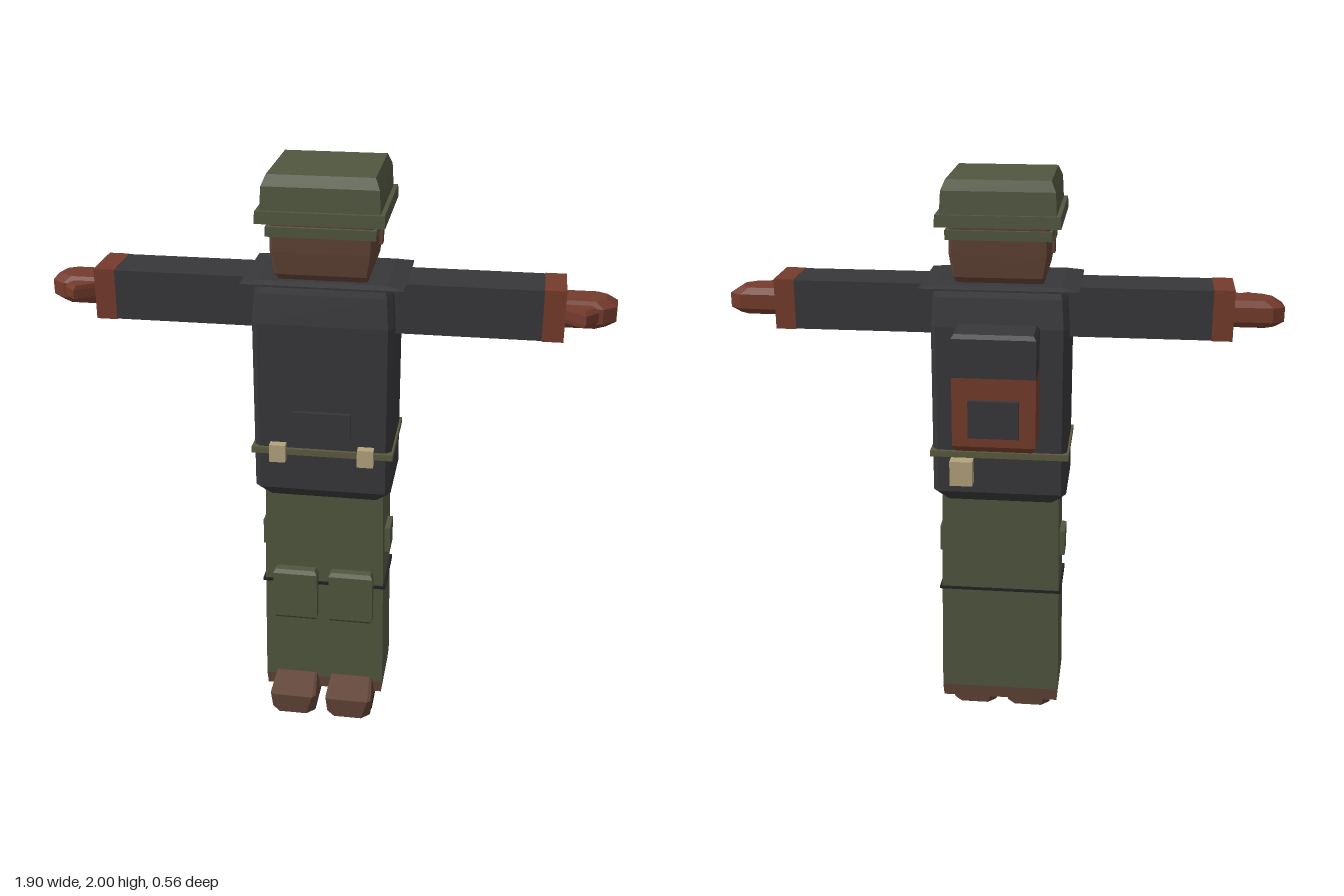
import * as THREE from 'three';

const mat = (name, color) => {
  const m = new THREE.MeshStandardMaterial({ color, flatShading: true });
  m.name = name;
  return m;
};

// Solid from stacked rings of [x, y, z], counterclockwise seen from above
function loft(rings) {
  const p = [];
  const tri = (...v) => v.forEach((a) => p.push(...a));
  const n = rings[0].length;
  for (let r = 0; r < rings.length - 1; r++) {
    const a = rings[r], b = rings[r + 1];
    for (let i = 0; i < n; i++) {
      const j = (i + 1) % n;
      tri(a[i], a[j], b[j]);
      tri(a[i], b[j], b[i]);
    }
  }
  const low = rings[0], top = rings[rings.length - 1];
  for (let i = 1; i < n - 1; i++) {
    tri(low[0], low[i + 1], low[i]);
    tri(top[0], top[i], top[i + 1]);
  }
  const g = new THREE.BufferGeometry();
  g.setAttribute('position', new THREE.Float32BufferAttribute(p, 3));
  g.computeVertexNormals();
  return g;
}

// Rectangular ring with optional cut corners
function rect(y, x0, x1, z0, z1, c = 0) {
  if (!c) return [[x1, y, z1], [x1, y, z0], [x0, y, z0], [x0, y, z1]];
  return [[x1 - c, y, z1], [x1, y, z1 - c], [x1, y, z0 + c], [x1 - c, y, z0],
    [x0 + c, y, z0], [x0, y, z0 + c], [x0, y, z1 - c], [x0 + c, y, z1]];
}

export function createModel() {
  const group = new THREE.Group();
  const olive = mat('olive cloth', 0x50563f);
  const charcoal = mat('charcoal cloth', 0x37373a);
  const rust = mat('rust leather', 0x743b2c);
  const brown = mat('brown', 0x5f4235);
  const khaki = mat('khaki strap', 0x5b5a3e);
  const tan = mat('tan pouch', 0xb3a27c);
  const black = mat('dark trim', 0x222224);

  const add = (name, geo, m) => {
    const mesh = new THREE.Mesh(geo, m);
    mesh.name = name;
    group.add(mesh);
    return mesh;
  };
  const box = (name, m, x0, x1, y0, y1, z0, z1) => {
    const g = new THREE.BoxGeometry(x1 - x0, y1 - y0, z1 - z0);
    return add(name, g.translate((x0 + x1) / 2, (y0 + y1) / 2, (z0 + z1) / 2), m);
  };
  // rows: [y, half width, back z, front z]
  const stack = (name, m, rows, c = 0) =>
    add(name, loft(rows.map(([y, h, z0, z1]) => rect(y, -h, h, z0, z1, c))), m);

  // Trousers
  stack('trousers', olive, [[0.095, 0.217, -0.055, 0.172], [0.5, 0.213, -0.054, 0.171], [0.87, 0.207, -0.052, 0.17]]);
  stack('trouserCuff', brown, [[0.05, 0.213, -0.054, 0.171], [0.095, 0.217, -0.055, 0.172]]);
  box('kneeSeam', black, -0.222, 0.222, 0.5, 0.51, -0.058, 0.178);

  // Jacket
  stack('jacket', charcoal, [
    [0.86, 0.2, -0.055, 0.178], [0.9, 0.235, -0.085, 0.21], [1.5, 0.235, -0.085, 0.21],
    [1.6, 0.228, -0.07, 0.195], [1.635, 0.22, -0.062, 0.187],
  ], 0.018);
  stack('collarPlate', charcoal, [[1.632, 0.268, -0.112, 0.222], [1.638, 0.268, -0.112, 0.222], [1.648, 0.21, -0.09, 0.2]]);
  box('chestPocket', charcoal, -0.1, 0.097, 1.105, 1.195, 0.2, 0.222);

  // Belt and pouches
  box('belt', khaki, -0.242, 0.242, 1.035, 1.057, -0.097, 0.222);
  box('backPouch', tan, 0.09, 0.17, 0.94, 1.03, -0.13, -0.08);

  // Backpack
  box('backpackBody', rust, -0.14, 0.14, 1.14, 1.38, -0.262, -0.12);
  add('backpackBase', loft([rect(1.12, -0.128, 0.128, -0.25, -0.13), rect(1.14, -0.14, 0.14, -0.262, -0.12)]), rust);
  add('backpackLid', loft([
    rect(1.38, -0.14, 0.14, -0.263, -0.119), rect(1.512, -0.14, 0.14, -0.263, -0.119),
    rect(1.526, -0.13, 0.13, -0.253, -0.128),
  ]), charcoal);
  box('backpackPocket', charcoal, -0.085, 0.085, 1.175, 1.305, -0.277, -0.26);

  // Neck and head
  box('neck', brown, -0.09, 0.09, 1.63, 1.665, -0.03, 0.13);
  stack('head', brown, [
    [1.655, 0.148, -0.078, 0.2], [1.675, 0.155, -0.09, 0.213], [1.75, 0.167, -0.097, 0.22], [1.86, 0.168, -0.1, 0.222],
  ], 0.01);
  box('headBand', olive, -0.177, 0.177, 1.803, 1.835, -0.112, 0.235);

  // Helmet
  stack('helmetBrim', olive, [[1.85, 0.207, -0.145, 0.26], [1.89, 0.205, -0.143, 0.258]]);
  stack('helmetDome', olive, [[1.89, 0.191, -0.13, 0.245], [1.965, 0.187, -0.124, 0.24], [2.0, 0.172, -0.11, 0.222]]);

  // Hand outlines in x and z, for the left side
  const palm = [[0.77, 0.12], [0.9, 0.12], [0.945, 0.085], [0.95, 0.015], [0.91, -0.01], [0.77, -0.01]];
  const thumb = [[0.77, 0.08], [0.77, 0.125], [0.845, 0.178], [0.885, 0.138], [0.86, 0.1]];

  for (const s of [1, -1]) {
    const side = s > 0 ? 'left' : 'right';
    const sideBox = (name, m, x0, x1, ...rest) =>
      box(side + name, m, Math.min(s * x0, s * x1), Math.max(s * x0, s * x1), ...rest);
    // Outline stacked in y, shrunk about a point by k at each level
    const slab = (name, pts, levels, cx, cz) => {
      const rings = levels.map(([y, k]) => {
        const r = pts.map(([x, z]) => [s * (cx + (x - cx) * k), y, cz + (z - cz) * k]);
        return s > 0 ? r : r.reverse();
      });
      add(side + name, loft(rings), rust);
    };

    // Arm
    sideBox('Sleeve', charcoal, 0.2, 0.71, 1.467, 1.637, -0.038, 0.144);
    sideBox('Cuff', rust, 0.71, 0.78, 1.465, 1.639, -0.038, 0.145);
    slab('Hand', palm, [[1.505, 0.82], [1.525, 1], [1.575, 1], [1.597, 0.8]], 0.77, 0.055);
    slab('Thumb', thumb, [[1.527, 0.88], [1.54, 1], [1.57, 1], [1.585, 0.88]], 0.79, 0.11);

    // Leg details
    add(side + 'KneePad', loft([
      rect(0.365, -0.07, 0.07, -0.02, 0.03), rect(0.377, -0.079, 0.079, -0.02, 0.04),
      rect(0.553, -0.079, 0.079, -0.02, 0.04), rect(0.566, -0.07, 0.07, -0.02, 0.03),
    ]), olive).position.set(s * 0.1, 0, 0.17);
    sideBox('SidePocket', olive, 0.2, 0.229, 0.62, 0.715, 0.02, 0.115);

    // Boot
    add(side + 'Boot', loft([
      rect(0, -0.08, 0.08, -0.015, 0.278, 0.03), rect(0.075, -0.084, 0.084, -0.015, 0.28, 0.012),
      rect(0.113, -0.075, 0.075, 0.0, 0.175, 0.008),
    ]), brown).position.x = s * 0.102;
    sideBox('BootSole', black, 0.1, 0.185, 0.004, 0.02, 0.055, 0.22);

    // Belt pouch and ear
    sideBox('BeltPouch', tan, 0.123, 0.178, 1.013, 1.076, 0.2, 0.241);
    sideBox('Ear', brown, 0.16, 0.181, 1.79, 1.836, 0.013, 0.078);
    sideBox('EarLobe', brown, 0.16, 0.178, 1.74, 1.79, 0.013, 0.056);
  }
  return group;
}
